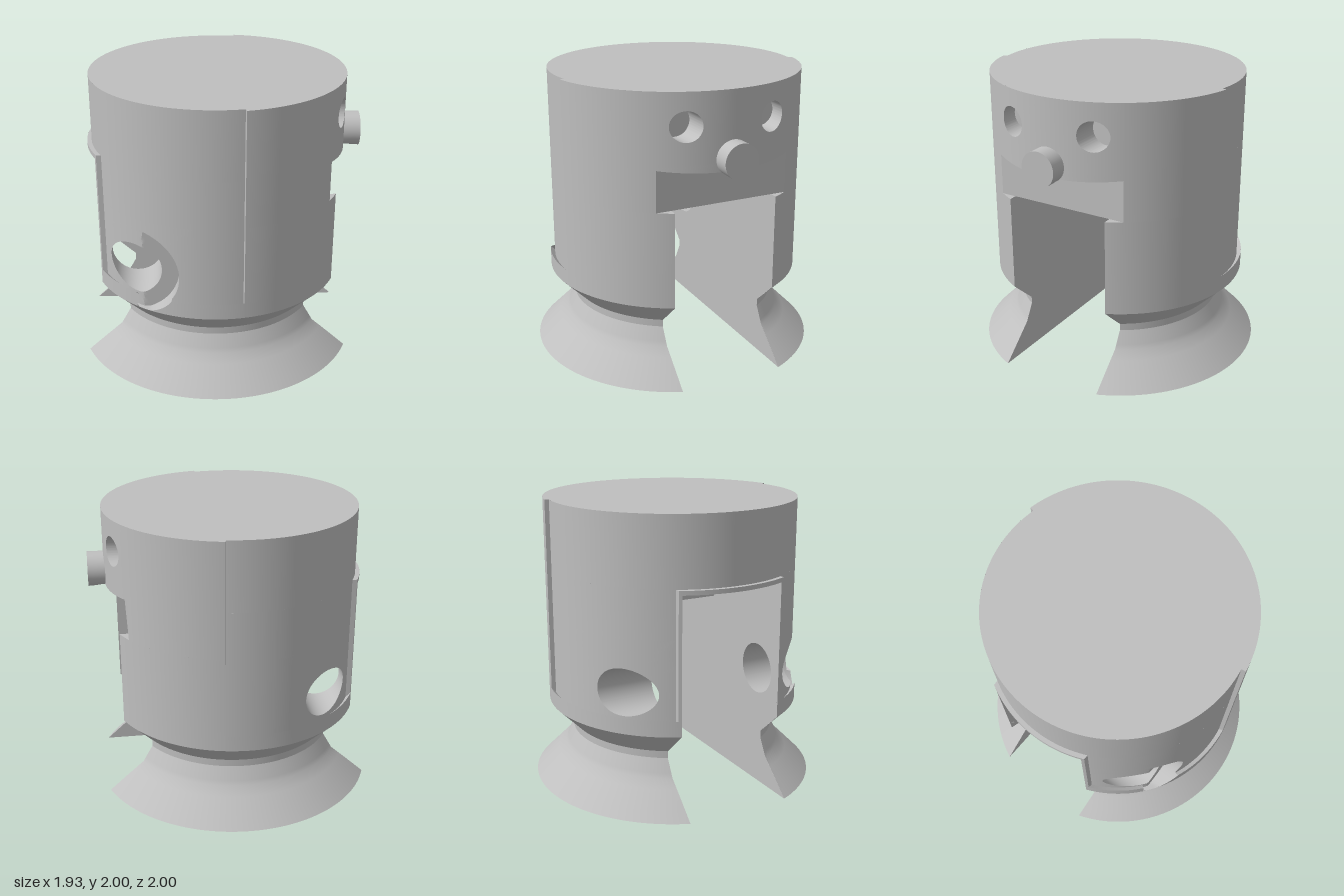
import * as THREE from 'three';
import { mergeGeometries, toCreasedNormals } from 'three/addons/utils/BufferGeometryUtils.js';

const CX = -0.035;             // x of the body axis
const R = 0.89, RI = 0.86;     // outer wall and recessed panel radii
const SLOT = 0.37, RIM = 0.39, MOUTH = 0.475; // half widths in z
const HX = -0.585, HY = 0.835, BORE = 0.29, FLOOR = 0.70; // side hole
const H = Math.PI / 2;
const PROFILE = [[1, 0], [0.78, 0.22], [0.722, 0.34], [0.722, 0.39], [R, 0.56]];

const lerp = THREE.MathUtils.lerp;
const edge = (r, z) => Math.acos(z / r);          // angle where the wall meets a z plane
const atX = (r, x) => Math.asin((x - CX) / r);    // angle where the wall meets an x plane
const chord = (r, d) => Math.sqrt(Math.max(0, r * r - d * d));
const onWall = (r, a, y) => [CX + r * Math.sin(a), y, r * Math.cos(a)];
const mouthTop = (x) => 1.5 - 0.18 * (x - 0.715);

// Grid patch following f(u, v); side = -1 mirrors it to the back half
function patch(f, nu, nv, side = 1) {
  const pos = [], idx = [];
  for (let j = 0; j <= nv; j++) for (let i = 0; i <= nu; i++) {
    const [x, y, z] = f(i / nu, j / nv);
    pos.push(x, y, z * side);
  }
  for (let j = 0; j < nv; j++) for (let i = 0; i < nu; i++) {
    const a = j * (nu + 1) + i, b = a + 1, c = a + nu + 1, d = c + 1;
    if (side > 0) idx.push(a, b, d, a, d, c);
    else idx.push(a, d, b, a, c, d);
  }
  const g = new THREE.BufferGeometry();
  g.setAttribute('position', new THREE.Float32BufferAttribute(pos, 3));
  g.setIndex(idx);
  return g;
}

// Ray angles around a hole, including the corners of the rectangle about it,
// with the distance to that rectangle along each ray
function rays(cx, cy, x0, x1, y0, y1) {
  const angles = [];
  for (let i = 0; i < 96; i++) angles.push(-Math.PI + (i * Math.PI) / 48);
  for (const x of [x0, x1]) for (const y of [y0, y1]) angles.push(Math.atan2(y - cy, x - cx));
  angles.sort((a, b) => a - b);
  angles.push(angles[0] + 2 * Math.PI);
  return angles.map((t) => {
    const c = Math.cos(t), s = Math.sin(t);
    const dx = Math.abs(c) < 1e-9 ? 99 : ((c > 0 ? x1 : x0) - cx) / c;
    const dy = Math.abs(s) < 1e-9 ? 99 : ((s > 0 ? y1 : y0) - cy) / s;
    return { c, s, d: Math.min(dx, dy) };
  });
}

export function createModel() {
  const model = new THREE.Group();
  const grey = new THREE.MeshStandardMaterial({ color: 0xbfbfbf, side: THREE.DoubleSide });
  grey.name = 'grey';

  const parts = {};
  const put = (name, g) => (parts[name] ??= []).push(g);

  for (const s of [1, -1]) {
    const add = (name, f, nu = 1, nv = 1) => put(name, patch(f, nu, nv, s));
    const wall = (name, r, a0, a1, y0, y1, n = 32) =>
      add(name, (u, v) => onWall(r, lerp(a0, a1, u), lerp(y0, y1, v)), n, 1);
    const step = atX(R, 0.13);

    // Flared foot and chamfer
    for (let i = 0; i < PROFILE.length - 1; i++) {
      const [p, q] = [PROFILE[i], PROFILE[i + 1]];
      add('flaredFoot', (u, v) => {
        const r = lerp(p[0], q[0], v);
        return onWall(r, lerp(-1, 1, u) * edge(r, SLOT), lerp(p[1], q[1], v));
      }, 64, 4);
    }
    add('footUnderside', (u, v) => {
      const [x, , z] = onWall(1, lerp(1, -1, u) * edge(1, SLOT), 0);
      return [x, 0, lerp(SLOT, z, v)];
    }, 64, 1);

    // Band under the recessed panel, notched by the counterbore in front
    const cut = chord(BORE, HY - 0.67);
    const stops = [-edge(R, SLOT), atX(R, HX), atX(R, HX + cut), step];
    for (let i = 0; i < 3; i++) {
      const notched = s > 0 && i === 1;
      add('lowerBand', (u, v) => {
        const a = lerp(stops[i], stops[i + 1], u);
        const low = HY - chord(BORE, CX + R * Math.sin(a) - HX);
        return onWall(R, a, lerp(0.56, notched ? Math.max(0.56, Math.min(0.67, low)) : 0.67, v));
      }, 24, 1);
      if (!notched) add('panelLedge', (u, v) =>
        onWall(lerp(R, RI, v), lerp(stops[i], stops[i + 1], u), lerp(0.67, 0.64, v)), 24, 1);
    }

    // Recessed panel and the step at its end
    const left = CX - chord(RI, RIM), right = -0.2, high = 1.2;
    wall('recessedPanel', RI, atX(RI, left), atX(RI, right), high, 1.53);
    wall('recessedPanel', RI, atX(RI, right), step, 0.56, 1.53, 16);
    wall('recessedPanel', RI, -H, step, 1.53, 2, 56);
    add('panelStep', (u, v) => onWall(lerp(RI, R, u), step, lerp(0.64, 2, v)));

    // Panel area around the side hole, with a counterbore in front only
    const holeR = s > 0 ? 0.175 : 0.162;
    const ring = rays(HX, HY, left, right, 0.56, high), n = ring.length - 1;
    const depth = (x, r = RI) => chord(r, x - CX);
    const floor = (x) => (s > 0 ? Math.min(FLOOR, depth(x)) : depth(x));
    const around = (u, radius) => {
      const k = ring[Math.round(u * n)], rho = radius(k);
      return [HX + rho * k.c, HY + rho * k.s];
    };
    const mid = (k) => Math.min(BORE, k.d);
    add('counterbore', (u, v) => {
      const [x, y] = around(u, (k) => lerp(holeR, s > 0 && k.s < 0 && k.c > 0 ? BORE : mid(k), v));
      return [x, y, floor(x)];
    }, n, 10);
    add('recessedPanel', (u, v) => {
      const [x, y] = around(u, (k) => lerp(mid(k), k.d, v));
      return [x, y, depth(x)];
    }, n, 10);
    if (s > 0) add('counterbore', (u, v) => {
      const [x, y] = around(u, mid);
      return [x, y, lerp(floor(x), Math.max(floor(x), depth(x, y < 0.67 && x > HX ? R : RI)), v)];
    }, n, 1);
    add('sideHole', (u, v) => {
      const [x, y] = around(u, () => holeR);
      return [x, y, lerp(SLOT, floor(x), v)];
    }, n, 1);

    // Raised rim and lip framing the slot
    wall('slotRim', R, -edge(R, SLOT), -edge(R, RIM), 0.67, 1.53, 2);
    add('slotRim', (u, v) => [CX - chord(lerp(R, RI, u), RIM), lerp(0.64, 1.53, v), RIM]);
    wall('slotLip', R, -H, -edge(R, SLOT), 1.5, 1.53, 16);
    add('slotLip', (u, v) => {
      const r = lerp(R, RI, v);
      return onWall(r, lerp(-H, -edge(r, RIM), u), 1.53);
    }, 16, 1);

    // Full-radius wall on the face side
    const cheek = edge(R, MOUTH);
    wall('outerWall', R, step, edge(R, SLOT), 0.56, 1.22);
    wall('outerWall', R, step, cheek, 1.22, 2);
    const face = (z, y) => [CX + chord(R, z), y, z];
    add('outerWall', (u, v) => {
      const z = lerp(MOUTH, 0, u), x = CX + chord(R, z);
      return face(z, lerp(mouthTop(x), 1.52, v));
    }, 24, 1);

    // Eye hole and the wall around it
    const EZ = 0.305, EY = 1.78, ER = 0.1, EX = 0.64;
    const eye = rays(EZ, EY, 0, MOUTH, 1.52, 2), m = eye.length - 1;
    const eyeAt = (u) => eye[Math.round(u * m)];
    add('outerWall', (u, v) => {
      const k = eyeAt(u), rho = lerp(k.d, ER, v);
      return face(EZ + rho * k.c, EY + rho * k.s);
    }, m, 10);
    add('eyeSocket', (u, v) => {
      const k = eyeAt(u), z = EZ + ER * k.c;
      return [lerp(CX + chord(R, z), EX, v), EY + ER * k.s, z];
    }, m, 1);
    add('eyeSocket', (u, v) => {
      const k = eyeAt(u), rho = ER * (1 - v);
      return [EX, EY + rho * k.s, EZ + rho * k.c];
    }, m, 1);

    // Mouth notch: back wall, sloping roof and floor ledge
    const MX = CX + chord(R, MOUTH);
    add('mouthNotch', (u, v) => [MX, lerp(1.22, mouthTop(MX), v), lerp(MOUTH, 0, u)]);
    add('mouthNotch', (u, v) => {
      const z = lerp(0, MOUTH, u), x = lerp(MX, CX + chord(R, z), v);
      return [x, mouthTop(x), z];
    }, 24, 1);
    add('mouthNotch', (u, v) => {
      const z = lerp(MOUTH, SLOT, u);
      return [lerp(MX, CX + chord(R, z), v), 1.22, z];
    }, 8, 1);

    // Slot: stepped ceiling and flat side with the hole through it
    add('slotCeiling', (u, v) => [lerp(0, MX, v), 1.22, lerp(0, SLOT, u)]);
    add('slotCeiling', (u, v) => [0, lerp(1.5, 1.22, v), lerp(0, SLOT, u)]);
    add('slotCeiling', (u, v) => {
      const z = lerp(0, SLOT, u);
      return [lerp(CX - chord(R, z), 0, v), 1.5, z];
    }, 16, 1);
    const rightEdge = PROFILE.map(([r, y]) => [CX + chord(r, SLOT), y]);
    const leftEdge = PROFILE.map(([r, y]) => [CX - chord(r, SLOT), y]).reverse();
    const xe = chord(R, SLOT);
    const side = new THREE.Shape([...rightEdge, [CX + xe, 1.22], [0, 1.22], [0, 1.5], [CX - xe, 1.5],
      ...leftEdge].map(([x, y]) => new THREE.Vector2(x, y)));
    side.holes.push(new THREE.Path().absarc(HX, HY, holeR, 0, 2 * Math.PI, true));
    const flank = new THREE.ShapeGeometry(side, 48).translate(0, 0, s * SLOT);
    flank.deleteAttribute('uv');
    flank.deleteAttribute('normal');
    put('slotSide', flank);

    // Flat top
    for (const [r, a0, a1] of [[RI, -H, step], [R, step, H]]) {
      add('top', (u, v) => onWall(r * v, lerp(a1, a0, u), 2).map((c, i) => (i ? c : lerp(CX, c, 1))), 48, 1);
    }
  }

  // Nose peg, trimmed below by the slope of the mouth roof
  const nose = (x, t, r) => [x, Math.max(1.56 + r * Math.sin(t), mouthTop(x)), r * Math.cos(t)];
  put('nose', patch((u, v) => nose(lerp(0.964, 0.82, v), u * 2 * Math.PI, 0.12), 64, 4));
  put('nose', patch((u, v) => nose(0.964, u * 2 * Math.PI, 0.12 * v), 64, 1));

  for (const [name, list] of Object.entries(parts)) {
    const mesh = new THREE.Mesh(toCreasedNormals(mergeGeometries(list), 0.35), grey);
    mesh.name = name;
    model.add(mesh);
  }
  return model;
}
